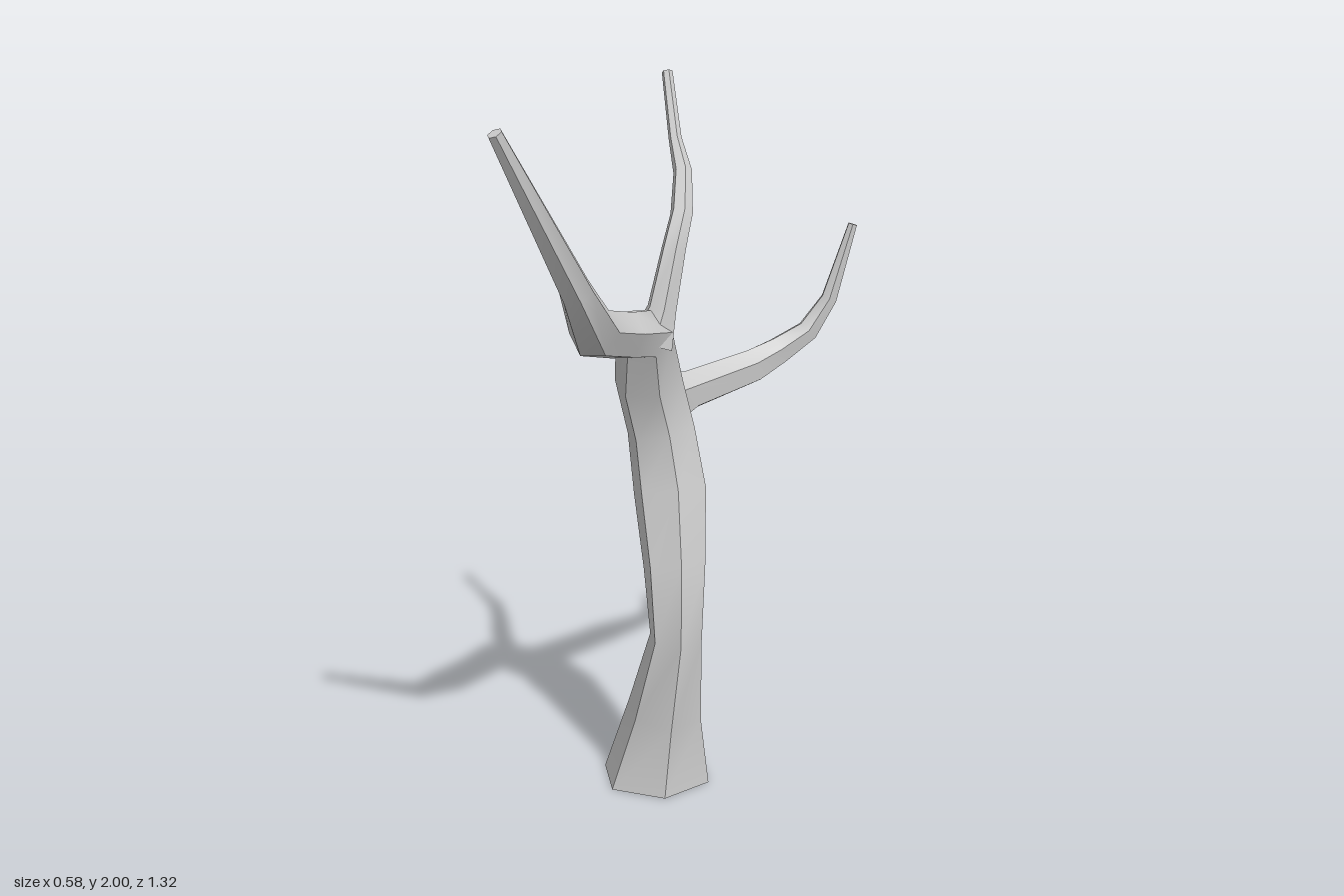
import * as THREE from 'three';
import { toCreasedNormals } from 'three/addons/utils/BufferGeometryUtils.js';

const SIDES = 6;

// Hexagonal limb through sections [x, y, z, radius]; the ring frame is carried along the path.
function limb(name, sections, firstTangent, side, twist, material) {
  const points = sections.map(([x, y, z]) => new THREE.Vector3(x, y, z));
  const last = points.length - 1;
  const u = side.clone();
  const positions = [];
  const index = [];
  points.forEach((p, i) => {
    const t = new THREE.Vector3();
    if (i > 0) t.add(p.clone().sub(points[i - 1]).normalize());
    if (i < last) t.add(points[i + 1].clone().sub(p).normalize());
    if (i === 0 && firstTangent) t.copy(firstTangent);
    t.normalize();
    u.addScaledVector(t, -u.dot(t)).normalize();
    const w = t.clone().cross(u);
    for (let j = 0; j < SIDES; j++) {
      const a = (j / SIDES) * Math.PI * 2 + twist;
      const v = p.clone()
        .addScaledVector(u, Math.cos(a) * sections[i][3])
        .addScaledVector(w, Math.sin(a) * sections[i][3]);
      positions.push(v.x, v.y, v.z);
    }
  });
  for (let i = 0; i < last; i++) {
    for (let j = 0; j < SIDES; j++) {
      const a = i * SIDES + j;
      const b = i * SIDES + (j + 1) % SIDES;
      index.push(a, b, b + SIDES, a, b + SIDES, a + SIDES);
    }
  }
  // end caps
  const top = last * SIDES;
  for (let j = 1; j < SIDES - 1; j++) {
    index.push(0, j + 1, j, top, top + j, top + j + 1);
  }
  const geometry = new THREE.BufferGeometry();
  geometry.setAttribute('position', new THREE.Float32BufferAttribute(positions, 3));
  geometry.setIndex(index);
  // creases along the limb stay sharp, bends stay smooth
  const mesh = new THREE.Mesh(toCreasedNormals(geometry, 0.7), material);
  mesh.name = name;
  return mesh;
}

export function createModel() {
  const tree = new THREE.Group();
  tree.name = 'bareTree';
  const bark = new THREE.MeshStandardMaterial({ color: 0xcccccc });
  const sideways = new THREE.Vector3(1, 0, 0);

  // trunk flows into the large forward branch
  tree.add(limb('trunkAndFrontBranch', [
    [-0.13, 0, -0.12, 0.162],
    [-0.095, 0.22, -0.103, 0.11],
    [-0.037, 0.47, -0.037, 0.076],
    [-0.06, 0.66, -0.087, 0.09],
    [-0.097, 0.86, -0.15, 0.106],
    [-0.13, 1.03, -0.168, 0.098],
    [-0.15, 1.18, -0.128, 0.096],
    [-0.132, 1.325, -0.05, 0.08],
    [-0.142, 1.345, 0.08, 0.068],
    [-0.153, 1.38, 0.235, 0.068],
    [-0.12, 1.52, 0.42, 0.044],
    [-0.213, 1.912, 0.645, 0.019],
  ], new THREE.Vector3(0, 1, 0), sideways, 0, bark));

  // slender branch rising toward the back
  tree.add(limb('upperBranch', [
    [-0.115, 1.3, -0.055, 0.065],
    [-0.09, 1.39, -0.075, 0.042],
    [-0.068, 1.55, -0.108, 0.034],
    [-0.068, 1.635, -0.168, 0.031],
    [-0.1, 1.735, -0.262, 0.026],
    [-0.137, 1.82, -0.302, 0.018],
    [-0.182, 1.995, -0.36, 0.015],
  ], null, sideways, 0, bark));

  // branch reaching back and to the left, then curling up
  tree.add(limb('backBranch', [
    [-0.135, 1.11, -0.15, 0.088],
    [-0.09, 1.122, -0.255, 0.06],
    [0.03, 1.157, -0.47, 0.053],
    [0.095, 1.197, -0.535, 0.043],
    [0.168, 1.252, -0.585, 0.034],
    [0.222, 1.345, -0.615, 0.025],
    [0.279, 1.56, -0.645, 0.014],
  ], null, sideways, Math.PI / 6, bark));

  return tree;
}
